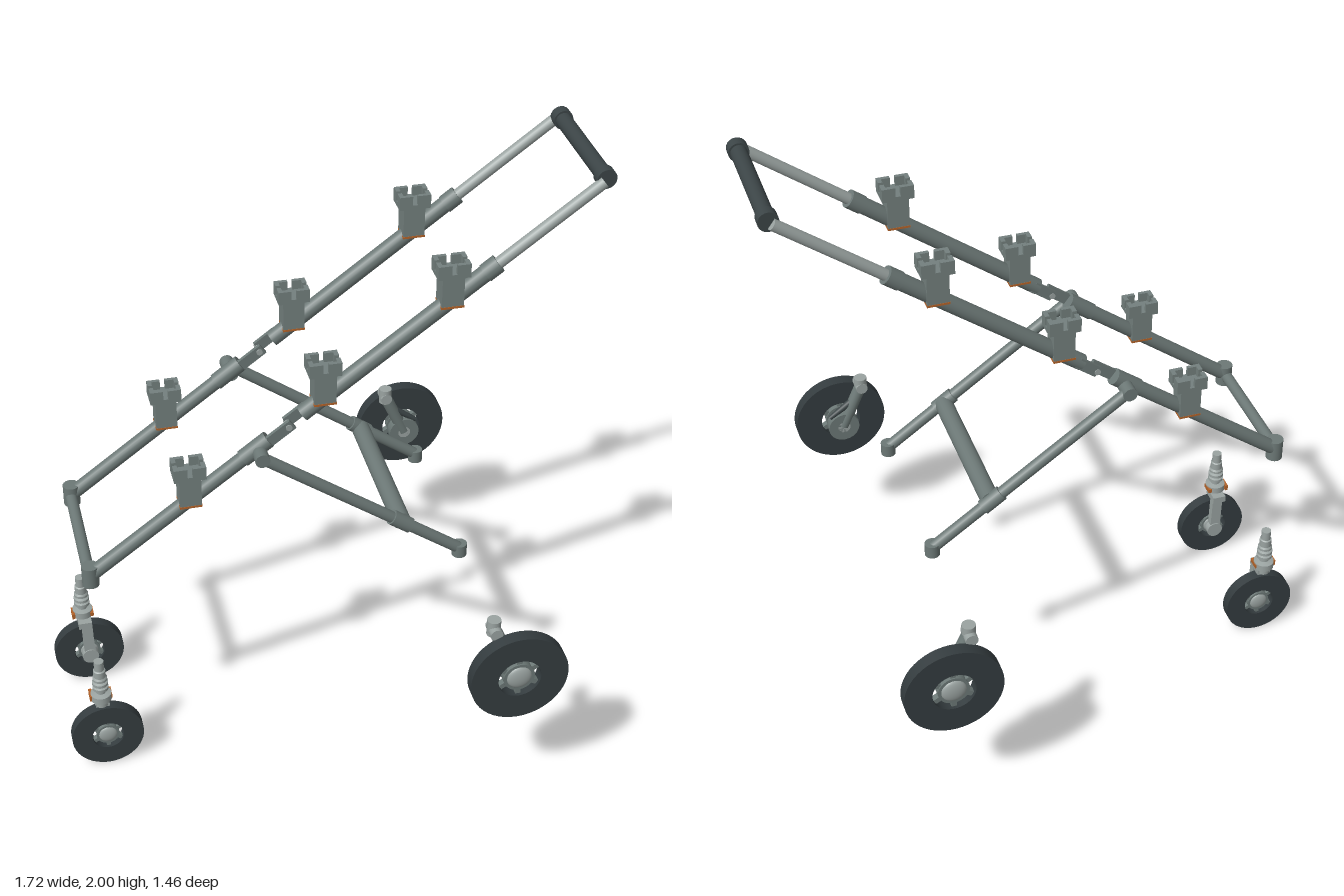
import * as THREE from 'three';

const mat = (name, color, side = THREE.FrontSide) => {
  const m = new THREE.MeshStandardMaterial({ color, side });
  m.name = name;
  return m;
};

export function createModel() {
  const steel = mat('greySteel', 0x6c7876);
  const bracketSteel = mat('bracketGrey', 0x74807e);
  const light = mat('lightMetal', 0x9aa3a1);
  const grip = mat('darkGrip', 0x3c4547);
  const rubber = mat('tyreRubber', 0x343c3f);
  const orange = mat('rustOrange', 0xb4642a);

  const root = new THREE.Group();
  root.name = 'foldingTrolleyFrame';
  const V = (x, y, z) => new THREE.Vector3(x, y, z);
  const group = (name, parent = root) => {
    const g = new THREE.Group();
    g.name = name;
    parent.add(g);
    return g;
  };
  const add = (parent, name, geo, m, x = 0, y = 0, z = 0) => {
    const mesh = new THREE.Mesh(geo, m);
    mesh.name = name;
    mesh.position.set(x, y, z);
    parent.add(mesh);
    return mesh;
  };
  // Capped round bar between two points
  const bar = (parent, name, a, b, r, m, r2 = r) => {
    const d = b.clone().sub(a);
    const mesh = add(parent, name, new THREE.CylinderGeometry(r2, r, d.length(), 20), m);
    mesh.position.copy(a).add(b).multiplyScalar(0.5);
    mesh.quaternion.setFromUnitVectors(V(0, 1, 0), d.normalize());
    return mesh;
  };
  const box = (parent, name, w, h, d, m, x, y, z) =>
    add(parent, name, new THREE.BoxGeometry(w, h, d), m, x, y, z);

  const slope = 0.745, tilt = Math.atan(slope);
  const railY = x => 0.785 + (x + 0.76) * slope;
  const onRail = (x, z) => V(x, railY(x), z);

  // Upright support clamp with an open, notched tray on top
  function clamp(parent, x, z) {
    const g = group('supportClamp', parent);
    g.position.set(x, railY(x) - 0.005, z);
    box(g, 'clampBody', 0.068, 0.11, 0.062, bracketSteel, 0, 0.055, 0);
    box(g, 'clampFoot', 0.07, 0.007, 0.064, orange, 0, -0.002, 0);
    box(g, 'trayFloor', 0.1, 0.014, 0.075, bracketSteel, 0, 0.106, 0);
    for (const sx of [-1, 1]) for (const sz of [-1, 1]) {
      box(g, 'trayLongWall', 0.042, 0.034, 0.012, bracketSteel, sx * 0.029, 0.127, sz * 0.0315);
      box(g, 'trayShortWall', 0.014, 0.034, 0.025, bracketSteel, sx * 0.043, 0.127, sz * 0.019);
    }
  }

  // Wheel centred on its own axle (z), with a ring of gaps round the hub
  function wheel(parent, name, R, width) {
    const g = group(name, parent);
    const h = width / 2, hole = R * 0.44;
    const pts = [[hole, -h], [R, -h], [R, -h], [R, h], [R, h], [hole, h], [hole, h], [hole, -h]];
    const tyre = new THREE.LatheGeometry(pts.map(p => new THREE.Vector2(...p)), 48);
    tyre.rotateX(Math.PI / 2);
    add(g, 'tyre', tyre, rubber);
    const hub = new THREE.CylinderGeometry(R * 0.32, R * 0.32, width * 0.7, 28);
    hub.rotateX(Math.PI / 2);
    add(g, 'hub', hub, steel);
    for (const s of [-1, 1]) {
      const cap = add(g, 'hubCap', new THREE.SphereGeometry(R * 0.26, 24, 14), light, 0, 0, s * width * 0.3);
      cap.scale.z = 0.35;
    }
    for (let i = 0; i < 6; i++) {
      const a = (i + 0.5) * Math.PI / 3;
      const spoke = box(g, 'spoke', R * 0.18, R * 0.11, width * 0.5, steel,
        Math.cos(a) * R * 0.38, Math.sin(a) * R * 0.38, 0);
      spoke.rotation.z = a;
    }
    return g;
  }

  // Side rails, clamps, hinges, legs and wheels for each side
  for (const s of [1, -1]) {
    const side = group(s > 0 ? 'frontSide' : 'backSide');
    const z = s * 0.215;
    bar(side, 'lowerRail', onRail(-0.76, z), onRail(-0.2, z), 0.023, steel);
    bar(side, 'lowerRailSleeve', onRail(-0.27, z), onRail(-0.19, z), 0.027, steel);
    bar(side, 'upperRail', onRail(-0.085, z), onRail(0.5, z), 0.026, steel);
    bar(side, 'railCollar', onRail(0.47, z), onRail(0.51, z), 0.029, steel);
    bar(side, 'slidingRail', onRail(0.5, z), onRail(0.82, z), 0.018, light);
    bar(side, 'cornerSocket', V(-0.76, 0.75, z), V(-0.76, 0.822, z), 0.027, steel);

    // Stepped hinge strap joining both rail halves
    for (const [x, w, dz] of [[-0.16, 0.105, 0.012], [-0.1, 0.08, -0.016]]) {
      const strap = box(side, 'hingeStrap', w, 0.036, 0.012, steel, x, railY(x), z + dz);
      strap.rotation.z = tilt;
    }
    bar(side, 'hingePin', onRail(-0.13, z - 0.024), onRail(-0.13, z + 0.022), 0.01, light);

    for (const x of [-0.44, -0.02, 0.365]) clamp(side, x, z);

    // Folding leg
    const zl = s * 0.265;
    bar(side, 'legPivot', V(-0.222, 1.178, s * 0.2), V(-0.222, 1.178, s * 0.284), 0.023, steel);
    bar(side, 'leg', V(-0.225, 1.18, zl), V(0.42, 0.718, zl), 0.019, steel);
    bar(side, 'legSleeve', V(0.19, 0.883, zl), V(0.25, 0.84, zl), 0.025, steel);
    bar(side, 'legSocket', V(0.418, 0.695, zl), V(0.418, 0.738, zl), 0.024, steel);

    // Large wheel with its swing arm
    const rear = group('largeWheelUnit', side);
    wheel(rear, 'largeWheel', 0.157, 0.042).position.set(0.485, 0.545, s * 0.702);
    const za = s * 0.648;
    bar(rear, 'axle', V(0.485, 0.545, s * 0.632), V(0.485, 0.545, s * 0.715), 0.022, light);
    bar(rear, 'axleBoss', V(0.485, 0.545, s * 0.632), V(0.485, 0.545, s * 0.667), 0.054, steel);
    bar(rear, 'swingArm', V(0.415, 0.7, za), V(0.485, 0.545, za), 0.021, steel);
    bar(rear, 'armPivot', V(0.415, 0.7, s * 0.626), V(0.415, 0.7, s * 0.684), 0.02, light);
    bar(rear, 'armPost', V(0.415, 0.68, za), V(0.415, 0.735, za), 0.022, light);
    bar(rear, 'brakeLever', V(0.43, 0.655, za), V(0.53, 0.585, za), 0.014, grip, 0.008);

    // Small caster with one inner fork blade and a sprung stem
    const caster = group('casterUnit', side);
    wheel(caster, 'smallWheel', 0.118, 0.037).position.set(-0.745, 0.12, s * 0.215);
    const zf = s * 0.182;
    bar(caster, 'casterAxle', V(-0.745, 0.12, s * 0.166), V(-0.745, 0.12, s * 0.228), 0.014, light);
    bar(caster, 'axleNut', V(-0.745, 0.12, s * 0.166), V(-0.745, 0.12, s * 0.19), 0.028, light);
    const blade = box(caster, 'forkBlade', 0.036, 0.15, 0.024, light, -0.748, 0.19, zf);
    blade.rotation.z = 0.03;
    box(caster, 'forkCrown', 0.045, 0.024, 0.065, light, -0.755, 0.258, s * 0.198);
    const profile = [[0, 0.25], [0.022, 0.25], [0.022, 0.272], [0.034, 0.274], [0.034, 0.298], [0.016, 0.302],
      [0.016, 0.314], [0.026, 0.318], [0.026, 0.328], [0.017, 0.332], [0.026, 0.337], [0.026, 0.347],
      [0.017, 0.351], [0.024, 0.356], [0.024, 0.364], [0.02, 0.37], [0.02, 0.395], [0.016, 0.398],
      [0.016, 0.432], [0, 0.432]];
    const segments = [];
    for (let i = 0; i < profile.length; i++) {
      segments.push(new THREE.Vector2(...profile[i]));
      if (i > 0 && i < profile.length - 1) segments.push(new THREE.Vector2(...profile[i]));
    }
    add(caster, 'sprungStem', new THREE.LatheGeometry(segments, 24), light, -0.757, 0, s * 0.218);
    box(caster, 'stemBolt', 0.012, 0.014, 0.04, orange, -0.728, 0.286, s * 0.21);
    box(caster, 'stemStop', 0.01, 0.02, 0.04, orange, -0.79, 0.286, s * 0.21);
  }

  // Cross members
  bar(root, 'lowerCrossTube', V(-0.763, 0.783, -0.21), V(-0.763, 0.783, 0.21), 0.019, steel);
  bar(root, 'legCrossTube', V(0.224, 0.857, -0.26), V(0.224, 0.857, 0.26), 0.03, steel);
  bar(root, 'handleGrip', V(0.828, 1.968, -0.2), V(0.828, 1.968, 0.2), 0.025, grip);
  for (const s of [1, -1])
    bar(root, 'handleEnd', V(0.828, 1.968, s * 0.178), V(0.828, 1.968, s * 0.213), 0.031, grip);

  return root;
}
